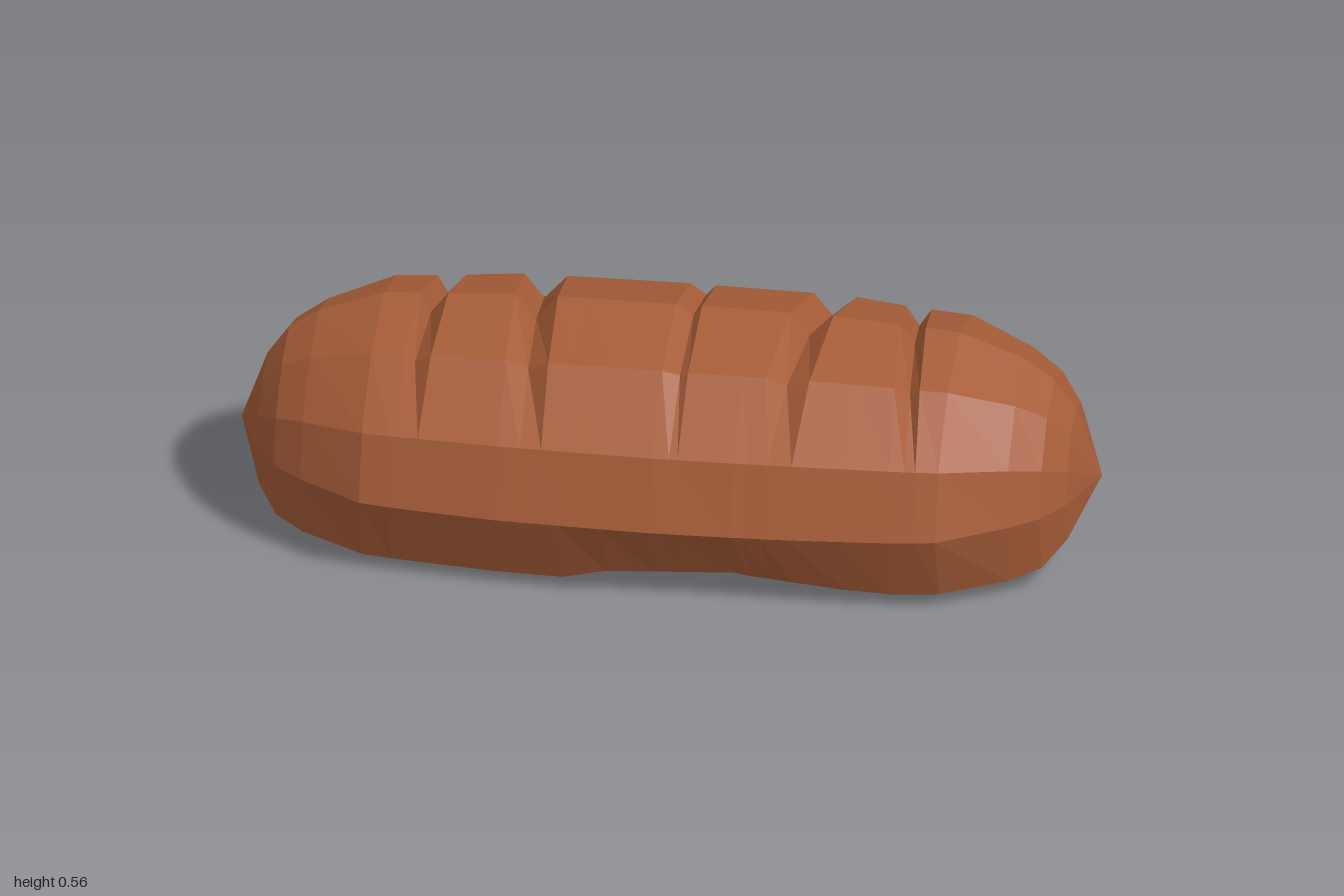
import * as THREE from 'three';

// Loaf profile along x: [x, half width, height above waist, depth below waist]
const STATIONS = [
  [0, 0.44, 0.367, 0.197], [0.36, 0.43, 0.365, 0.195], [0.67, 0.39, 0.345, 0.192],
  [0.82, 0.295, 0.288, 0.187], [0.89, 0.238, 0.24, 0.17], [0.94, 0.162, 0.168, 0.118], [1, 0, 0, 0],
];
// Half cross-section from crown to underside, in units of the profile: [side, up]
const SECTION = [[0, 1], [0.5, 0.836], [0.875, 0.45], [1, 0], [0.85, -0.85], [0.455, -0.95], [0, -1]];
const SIDES = 12;
const WAIST = 0.2;
// Slashes in the crust: [x, slant, left lip, right lip, depth]
const SLASHES = [
  [-0.56, -0.05, 0.025, 0.04, 0.05], [-0.315, 0.045, 0.05, 0.05, 0.06], [0.05, 0, 0.04, 0.02, 0.025],
  [0.32, -0.11, 0.045, 0.055, 0.055], [0.565, 0.08, 0.035, 0.025, 0.045],
];
// Raised hollow along the front lower edge: [x, lift]
const HOLLOW = [[-1, 0], [-0.2, 0], [-0.08, 0.03], [0.2, 0.042], [0.35, 0.028], [0.5, 0], [1, 0]];

// Linear lookup in a table sorted by its first column
function lookup(table, x, col) {
  let i = 0;
  while (i < table.length - 2 && x > table[i + 1][0]) i++;
  const t = (x - table[i][0]) / (table[i + 1][0] - table[i][0]);
  return THREE.MathUtils.lerp(table[i][col], table[i + 1][col], t);
}

function makeRing({ x, slant = 0, depth = 0 }) {
  const ax = Math.abs(x);
  const [w, up, down] = [1, 2, 3].map((c) => lookup(STATIONS, ax, c));
  const ring = [];
  for (let k = 0; k < SIDES; k++) {
    const front = k <= 6;
    const j = front ? k : SIDES - k;
    const [s, v] = SECTION[j];
    // slashes cut only the crown and fade out down the sides
    const cut = depth * (j === 0 ? 1 : j === 1 ? (front ? 0.65 : 0.9) : 0);
    let z = (front ? 1 : -1) * s * w;
    let y = WAIST + v * (v > 0 ? up : down);
    const px = x + slant * z;
    const r = Math.hypot(z, y - WAIST) || 1;
    z *= 1 - cut / r;
    y -= cut * (y - WAIST) / r;
    if (front && j === 4) y += lookup(HOLLOW, x, 1);
    if (front && j === 5) y += lookup(HOLLOW, x, 1) * 0.2;
    ring.push([px, y, z]);
  }
  return ring;
}

function loafGeometry() {
  const rings = [-0.2, -0.1, 0.2, 0.455].map((x) => ({ x }));
  for (const [x] of STATIONS.slice(2)) rings.push({ x }, { x: -x });
  for (const [x, slant, left, right, depth] of SLASHES) {
    rings.push({ x: x - left, slant }, { x, slant, depth }, { x: x + right, slant });
  }
  rings.sort((a, b) => a.x - b.x);
  const pts = rings.map(makeRing);
  const pos = [];
  const last = pts.length - 2;
  for (let i = 0; i <= last; i++) {
    for (let k = 0; k < SIDES; k++) {
      const n = (k + 1) % SIDES;
      const [a, b, c, d] = [pts[i][k], pts[i][n], pts[i + 1][n], pts[i + 1][k]];
      // the end rings shrink to a point, so only one triangle is needed there
      if (i > 0) pos.push(...a, ...b, ...c);
      if (i < last) pos.push(...a, ...c, ...d);
      if (i === last) continue;
    }
  }
  const g = new THREE.BufferGeometry();
  g.setAttribute('position', new THREE.Float32BufferAttribute(pos, 3));
  g.computeVertexNormals();
  return g;
}

export function createModel() {
  const group = new THREE.Group();
  group.name = 'breadLoaf';
  const crust = new THREE.MeshStandardMaterial({ color: 0xa65c38, flatShading: true });
  crust.name = 'crustBrown';
  const loaf = new THREE.Mesh(loafGeometry(), crust);
  loaf.name = 'loaf';
  group.add(loaf);
  return group;
}
